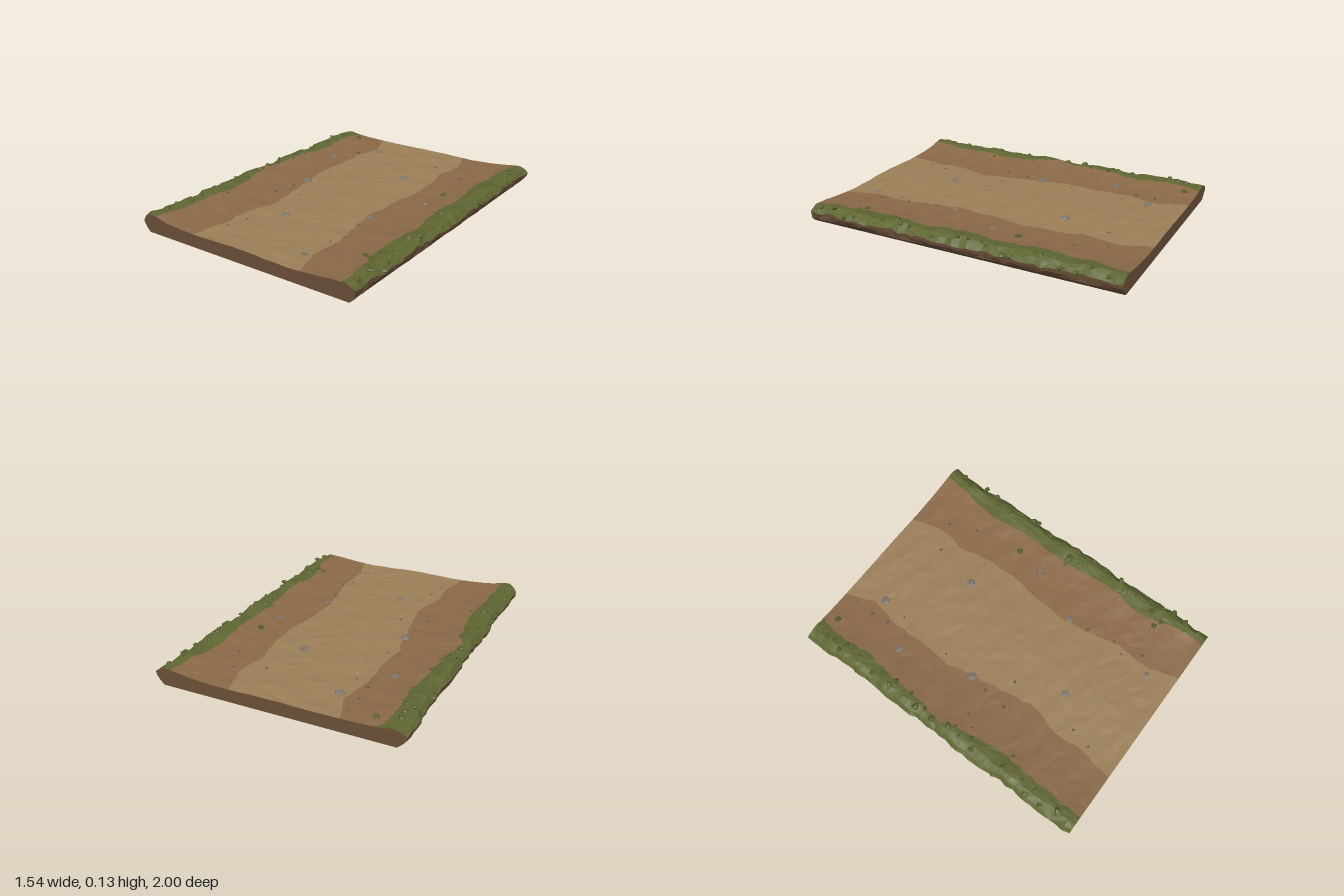
import * as THREE from 'three';
import { mergeGeometries } from 'three/addons/utils/BufferGeometryUtils.js';

const ROWS = 44;

// Repeatable noise in 0..1
const hash = (a, b = 0) => {
  const s = Math.sin(a * 127.1 + b * 311.7 + 4.3) * 43758.5453;
  return s - Math.floor(s);
};
const jitter = (a, b, amount) => (hash(a, b) - 0.5) * 2 * amount;
const lerp = THREE.MathUtils.lerp;

// Winding borders, as x values at z = -1 to 1 in even steps
const BORDERS = {
  grassL: [-0.61, -0.64, -0.62, -0.65, -0.66, -0.70, -0.64, -0.61, -0.63, -0.64, -0.65],
  trackL: [-0.40, -0.32, -0.37, -0.36, -0.38, -0.34, -0.31, -0.27, -0.33, -0.32, -0.36],
  trackR: [0.28, 0.33, 0.30, 0.34, 0.34, 0.31, 0.29, 0.32, 0.36, 0.34, 0.40],
  grassR: [0.66, 0.63, 0.60, 0.62, 0.62, 0.61, 0.64, 0.63, 0.61, 0.66, 0.66],
};
function border(name, z) {
  const list = BORDERS[name];
  const t = THREE.MathUtils.clamp((z + 1) * 5, 0, 9.9999);
  const i = Math.floor(t);
  return lerp(list[i], list[i + 1], t - i);
}

// Height of the ground: shallow ruts, rising to a rim on both sides
const PROFILE = [[0, 0.084], [0.3, 0.078], [0.42, 0.081], [0.52, 0.087], [0.61, 0.1], [0.68, 0.113], [0.8, 0.113]];
function height(x, z) {
  const ax = Math.min(Math.abs(x), 0.79);
  const i = PROFILE.findIndex((p) => p[0] > ax) - 1;
  const [x0, y0] = PROFILE[i], [x1, y1] = PROFILE[i + 1];
  const side = x < 0 ? 0 : 1.9;
  const rim = THREE.MathUtils.smoothstep(ax, 0.52, 0.69);
  const wave = Math.sin(z * 15 + side) * 0.006 + Math.sin(z * 27 + side * 2) * 0.003 - 0.004;
  const ripple = Math.sin(x * 9 + z * 21) * 0.0014 + Math.sin(z * 34 - x * 13) * 0.0012;
  return lerp(y0, y1, (ax - x0) / (x1 - x0)) + wave * rim + ripple;
}

// Rim points from the crest down to the outer lip, and the earth bank below
function rim(s, z, row) {
  const lip = (s < 0 ? 0.76 : 0.748) + Math.sin(z * 11 + s) * 0.006 + jitter(row, s, 0.007);
  const crest = 0.7 + jitter(row, s + 5, 0.008);
  const top = height(s * crest, z);
  return {
    grass: [
      [s * crest, top],
      [s * (lip - 0.022), top - 0.014 + jitter(row, s + 7, 0.005)],
      [s * lip, 0.072 + jitter(row, s + 9, 0.01)],
    ],
    bank: [
      [s * (lip - 0.003), 0.05 + jitter(row, s + 11, 0.006)],
      [s * (0.733 + jitter(row, s + 13, 0.005)), 0.026],
      [s * 0.708, 0],
    ],
  };
}

// One cross-section, split into strips that share their end points
function section(row) {
  const z = -1 + (2 * row) / ROWS;
  const wobble = (name, k) => border(name, z) + jitter(row, k, 0.008);
  const [gl, tl, tr, gr] = Object.keys(BORDERS).map(wobble);
  const across = (a, b, n, k) => Array.from({ length: n + 1 }, (_, i) => {
    const inner = i > 0 && i < n;
    const x = lerp(a, b, i / n) + (inner ? jitter(row, k + i, 0.01) : 0);
    return [x, height(x, z) + (inner ? jitter(row, k + i + 50, 0.0025) : 0)];
  });
  const L = rim(-1, z, row), R = rim(1, z, row);
  const crestL = L.grass[0], crestR = R.grass[0];
  return {
    bankLeftSide: [...[...L.bank].reverse(), L.grass[2]],
    grassLeftSide: [...[...L.grass].reverse(), ...across(crestL[0], gl, 3, 100).slice(1)],
    dirtLeftSide: across(gl, tl, 5, 200),
    track: across(tl, tr, 10, 300),
    dirtRightSide: across(tr, gr, 5, 400),
    grassRightSide: [...across(gr, crestR[0], 3, 500), ...R.grass.slice(1)],
    bankRightSide: [R.grass[2], ...R.bank],
    underside: [R.bank[2], L.bank[2]],
  };
}

// Skin joining one strip of every cross-section
function loft(sections, name) {
  const pos = [], index = [];
  const n = sections[0][name].length;
  sections.forEach((sec, r) => sec[name].forEach(([x, y], c) => {
    pos.push(x, y, -1 + (2 * r) / ROWS);
    if (r === ROWS || c === n - 1) return;
    const a = r * n + c, b = a + 1, d = a + n, e = d + 1;
    if (hash(r, c) > 0.5) index.push(a, d, b, b, d, e);
    else index.push(a, d, e, a, e, b);
  }));
  const g = new THREE.BufferGeometry();
  g.setAttribute('position', new THREE.Float32BufferAttribute(pos, 3));
  g.setIndex(index);
  const flat = g.toNonIndexed();
  flat.computeVertexNormals();
  return flat;
}

// Flat earth face closing one end
function endCap(sec, s) {
  const pts = Object.values(sec).flatMap((strip) => strip.slice(0, -1));
  const g = new THREE.ShapeGeometry(new THREE.Shape(pts.map(([x, y]) => new THREE.Vector2(x * s, y))));
  if (s < 0) g.rotateY(Math.PI);
  return g.translate(0, 0, s);
}

// Rough faceted lump, used for stones and tufts
function lump(x, y, z, r, squash, seed, rough) {
  const g = new THREE.IcosahedronGeometry(1, 0);
  const p = g.attributes.position;
  for (let i = 0; i < p.count; i++) {
    const key = Math.round(p.getX(i) * 9) + Math.round(p.getY(i) * 9) * 3.7 + Math.round(p.getZ(i) * 9) * 7.3;
    const k = 1 + jitter(key, seed, rough);
    p.setXYZ(i, p.getX(i) * k, p.getY(i) * k, p.getZ(i) * k);
  }
  g.rotateY(seed * 1.7).scale(r, r * squash, r * 0.9).translate(x, y, z);
  g.computeVertexNormals();
  return g;
}

// x, z, radius
const STONES = [
  [-0.28, -0.77, 0.033], [0.14, -0.41, 0.035], [-0.35, -0.02, 0.033], [0.32, 0.24, 0.025],
  [-0.1, 0.5, 0.027], [0.3, 0.83, 0.022], [-0.48, -0.49, 0.026], [0.48, -0.11, 0.02],
];
const PEBBLES = [
  [0.33, 0.37, 0.012], [0.21, -0.71, 0.013], [0.39, -0.78, 0.012], [0.46, -0.61, 0.012], [-0.4, -0.78, 0.013],
  [-0.39, -0.66, 0.014], [-0.39, 0.25, 0.013], [-0.22, 0.21, 0.01], [-0.55, 0.11, 0.01], [-0.25, 0.67, 0.01],
  [-0.28, 0.8, 0.01], [0.36, 0.55, 0.01], [0.32, 0.63, 0.008], [0.39, 0.74, 0.01], [0.6, 0, 0.012],
  [-0.33, -0.24, 0.008], [-0.3, -0.6, 0.008], [-0.37, 0.1, 0.012], [-0.4, -0.91, 0.01], [-0.61, 0.18, 0.01],
];
const STRAY_TUFTS = [[-0.56, -0.92, 0.024], [0.51, -0.29, 0.027], [0.59, 0.69, 0.02], [0.64, 0.71, 0.02], [-0.6, 0.48, 0.014]];

export function createModel() {
  const model = new THREE.Group();
  const material = (color) => new THREE.MeshStandardMaterial({ color, flatShading: true });
  const earth = material(0x6b5039), dirt = material(0x8a6a48), track = material(0x9b7f58);
  const grass = material(0x5f6632), leaf = material(0x565e2c), grey = material(0x7c776f), dark = material(0x5f5850);
  const add = (name, geometry, mat) => {
    const mesh = new THREE.Mesh(geometry, mat);
    mesh.name = name;
    model.add(mesh);
  };

  // Ground slab
  const sections = Array.from({ length: ROWS + 1 }, (_, r) => section(r));
  for (const name of Object.keys(sections[0])) {
    const mat = name.startsWith('grass') ? grass : name.startsWith('dirt') ? dirt : name === 'track' ? track : earth;
    add(name, loft(sections, name), mat);
  }
  add('frontEnd', endCap(sections[ROWS], 1), earth);
  add('backEnd', endCap(sections[0], -1), earth);

  // Half-sunk stones and pebbles
  const scatter = (list, squash, rough) => mergeGeometries(
    list.map(([x, z, r], i) => lump(x, height(x, z) + r * 0.05, z, r, squash, i + 1, rough)));
  add('stones', scatter(STONES, 0.3, 0.15), grey);
  add('pebbles', scatter(PEBBLES, 0.45, 0.15), dark);

  // Grass tufts along both rims, some hanging over the lip
  const tufts = [];
  for (const s of [-1, 1]) {
    for (let i = 0; i < 30; i++) {
      const z = -0.95 + (1.9 * (i + hash(i, s + 20))) / 30;
      const out = hash(i, s + 30);
      const x = s * lerp(0.655, 0.755, out);
      const y = out > 0.65 ? lerp(0.1, 0.07, (out - 0.65) / 0.35) : height(x, z) - 0.003;
      tufts.push(lump(x, y, z, 0.014 + 0.012 * hash(i, s + 40), 0.6, i + s * 40, 0.3));
    }
  }
  add('rimTufts', mergeGeometries(tufts), leaf);
  add('strayTufts', scatter(STRAY_TUFTS, 0.55, 0.3), leaf);
  return model;
}
